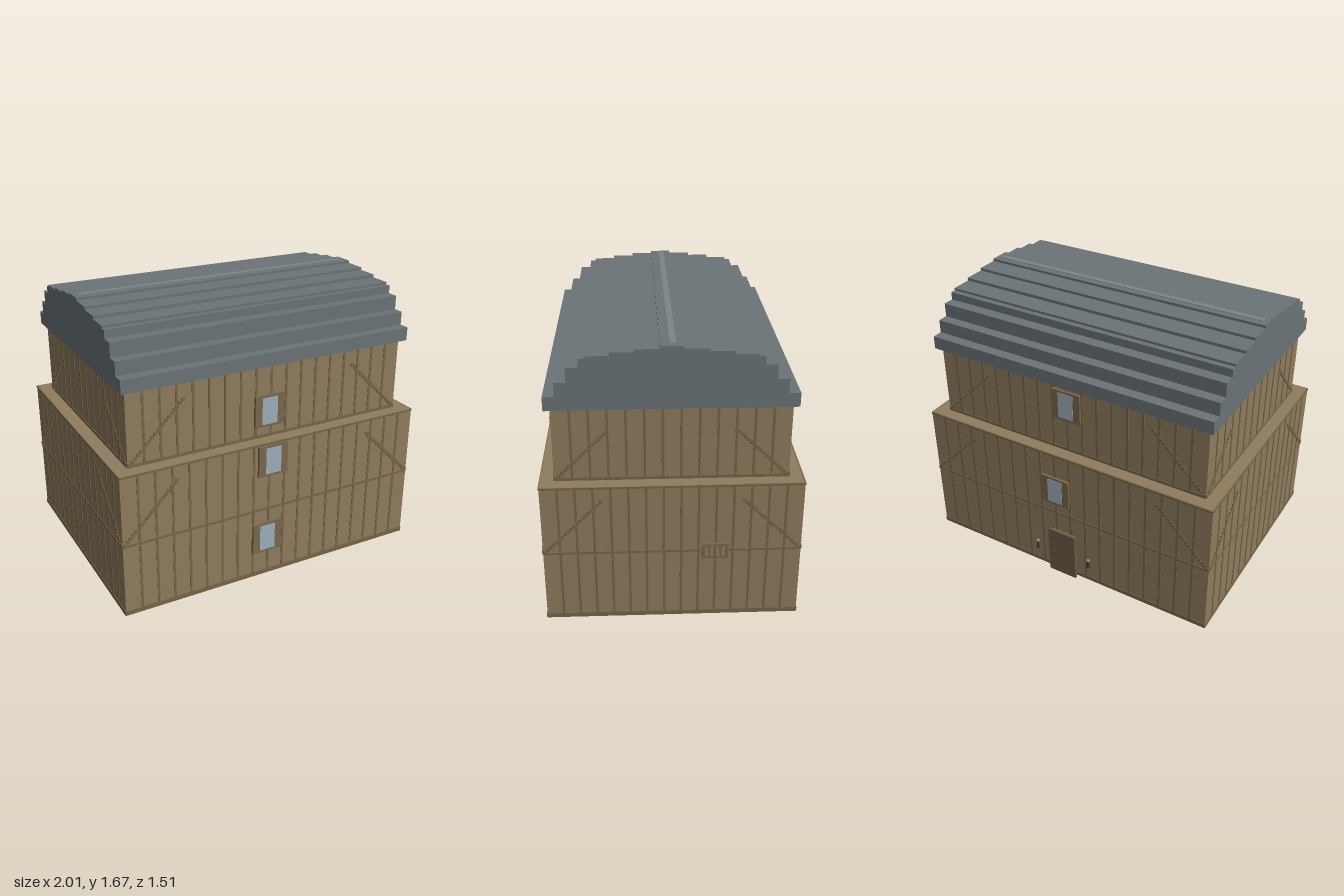
import * as THREE from 'three';

const mat = (color) => new THREE.MeshStandardMaterial({ color, flatShading: true });
const WALL = mat(0x8f7d5d), TIMBER = mat(0x776749), FRAME = mat(0x7a684c), DOOR = mat(0x6c5c48);
const ROOF = mat(0x6b7478), RIDGE = mat(0x7d8588), GLASS = mat(0x9fb0ba), IRON = mat(0x3c3a38), GLOW = mat(0xb08a50);

// Box given by its extents on each axis
function box(parent, name, material, [x0, x1], [y0, y1], [z0, z1]) {
  const mesh = new THREE.Mesh(new THREE.BoxGeometry(x1 - x0, y1 - y0, z1 - z0), material);
  mesh.position.set((x0 + x1) / 2, (y0 + y1) / 2, (z0 + z1) / 2);
  mesh.name = name;
  parent.add(mesh);
  return mesh;
}

// One storey: plain walls, then battens, bands and diagonal braces on all four sides
function storey(parent, name, { x, y, z, bands, brace }) {
  const group = new THREE.Group();
  group.name = name;
  parent.add(group);
  box(group, 'walls', WALL, x, y, z);
  const w = x[1] - x[0], d = z[1] - z[0], out = 0.003;
  const cx = (x[0] + x[1]) / 2, cz = (z[0] + z[1]) / 2;

  for (let i = 0; i < 4; i++) {
    const side = new THREE.Group();
    side.name = 'wallSide';
    side.position.set(cx, 0, cz);
    side.rotation.y = i * Math.PI / 2;
    group.add(side);
    const half = (i % 2 ? d : w) / 2, face = (i % 2 ? w : d) / 2;

    const n = Math.round(half * 2 / 0.1);
    for (let k = 1; k < n; k++) {
      const bx = -half + k * 2 * half / n;
      box(side, 'batten', TIMBER, [bx - 0.007, bx + 0.007], y, [face - 0.005, face + out]);
    }
    for (const [b0, b1] of bands) {
      box(side, 'band', TIMBER, [-half, half], [b0, b1], [face - 0.005, face + out + 0.001]);
    }
    // Braces rise inward from the lower corners in small steps
    if (brace) {
      const rise = brace[i % 2], steps = Math.round(rise / 0.0165);
      for (const s of [-1, 1]) {
        for (let k = 0; k <= steps; k++) {
          const t = k / steps * rise, px = s * (half - 0.012 - t), py = y[0] + 0.015 + t;
          box(side, 'braceBlock', TIMBER, [px - 0.01, px + 0.01], [py - 0.01, py + 0.01],
            [face - 0.005, face + out + 0.002]);
        }
      }
    }
  }
}

// Window standing proud of a wall; dir is +1 on the front, -1 on the back
function windowUnit(parent, cx, cy, wallZ, dir) {
  const group = new THREE.Group();
  group.name = 'window';
  group.position.set(cx, cy, wallZ);
  if (dir < 0) group.rotation.y = Math.PI;
  parent.add(group);
  box(group, 'windowFrame', FRAME, [-0.095, 0.095], [-0.096, 0.096], [-0.005, 0.016]);
  box(group, 'windowPane', GLASS, [-0.05, 0.05], [-0.082, 0.082], [0, 0.018]);
}

export function createModel() {
  const model = new THREE.Group();
  model.name = 'timberHouse';

  // Storeys
  const x = [-1, 0.93], z = [-0.72, 0.735];
  storey(model, 'groundFloor', { x, y: [0, 0.44], z, bands: [[0, 0.028]] });
  storey(model, 'middleFloor', { x, y: [0.44, 0.87], z, bands: [[0.438, 0.452], [0.858, 0.87]], brace: [0.32, 0.32] });
  storey(model, 'topFloor', {
    x: [-0.92, 0.85], y: [0.87, 1.31], z: [-0.64, 0.655], bands: [[0.87, 0.888]], brace: [0.32, 0.27],
  });

  // Stepped barrel roof: half width and top height of each step
  const steps = [[0.678, 1.39], [0.614, 1.47], [0.551, 1.553], [0.483, 1.6],
    [0.45, 1.614], [0.323, 1.632], [0.194, 1.648], [0.063, 1.663]];
  const right = [];
  let base = 1.31;
  for (const [half, top] of steps) {
    right.push(new THREE.Vector2(half, base), new THREE.Vector2(half, top));
    base = top;
  }
  const left = right.map((p) => new THREE.Vector2(-p.x, p.y)).reverse();
  const roofGeo = new THREE.ExtrudeGeometry(new THREE.Shape([...right, ...left]), { depth: 1.835, bevelEnabled: false });
  roofGeo.rotateY(Math.PI / 2);
  const roof = new THREE.Mesh(roofGeo, ROOF);
  roof.name = 'roof';
  roof.position.set(-0.95, 0, 0.01);
  model.add(roof);
  box(model, 'roofRidge', RIDGE, [-0.92, 0.85], [1.655, 1.666], [-0.012, 0.022]);

  // Windows, front then back
  windowUnit(model, -0.098, 0.26, 0.735, 1);
  windowUnit(model, -0.067, 0.762, 0.735, 1);
  windowUnit(model, -0.05, 1.036, 0.655, 1);
  windowUnit(model, 0.01, 0.613, -0.72, -1);
  windowUnit(model, -0.035, 1.182, -0.64, -1);

  // Back door
  const door = new THREE.Group();
  door.name = 'door';
  model.add(door);
  box(door, 'doorFrame', FRAME, [-0.115, 0.045], [0, 0.308], [-0.739, -0.715]);
  box(door, 'doorPanel', DOOR, [-0.13, 0.06], [0, 0.322], [-0.755, -0.739]);

  // Lanterns on either side of the door
  for (const lx of [-0.22, 0.15]) {
    const lantern = new THREE.Group();
    lantern.name = 'lantern';
    lantern.position.set(lx, 0, -0.747);
    model.add(lantern);
    box(lantern, 'lanternBase', IRON, [-0.008, 0.008], [0.125, 0.138], [-0.008, 0.008]);
    box(lantern, 'lanternGlass', IRON, [-0.006, 0.006], [0.138, 0.174], [-0.006, 0.006]);
    box(lantern, 'lanternCap', GLOW, [-0.008, 0.008], [0.174, 0.186], [-0.008, 0.008]);
  }

  // Small side balcony with an open railing
  const balcony = new THREE.Group();
  balcony.name = 'balcony';
  model.add(balcony);
  const bz = [-0.298, -0.155], rail = [0.985, 1];
  box(balcony, 'balconyFloor', FRAME, [0.925, 1], [0.438, 0.452], bz);
  box(balcony, 'balconyRail', FRAME, rail, [0.517, 0.53], bz);
  for (let i = 0; i < 5; i++) {
    const pz = bz[0] + 0.007 + i * (bz[1] - bz[0] - 0.014) / 4;
    box(balcony, 'baluster', FRAME, rail, [0.452, 0.517], [pz - 0.007, pz + 0.007]);
  }
  return model;
}
